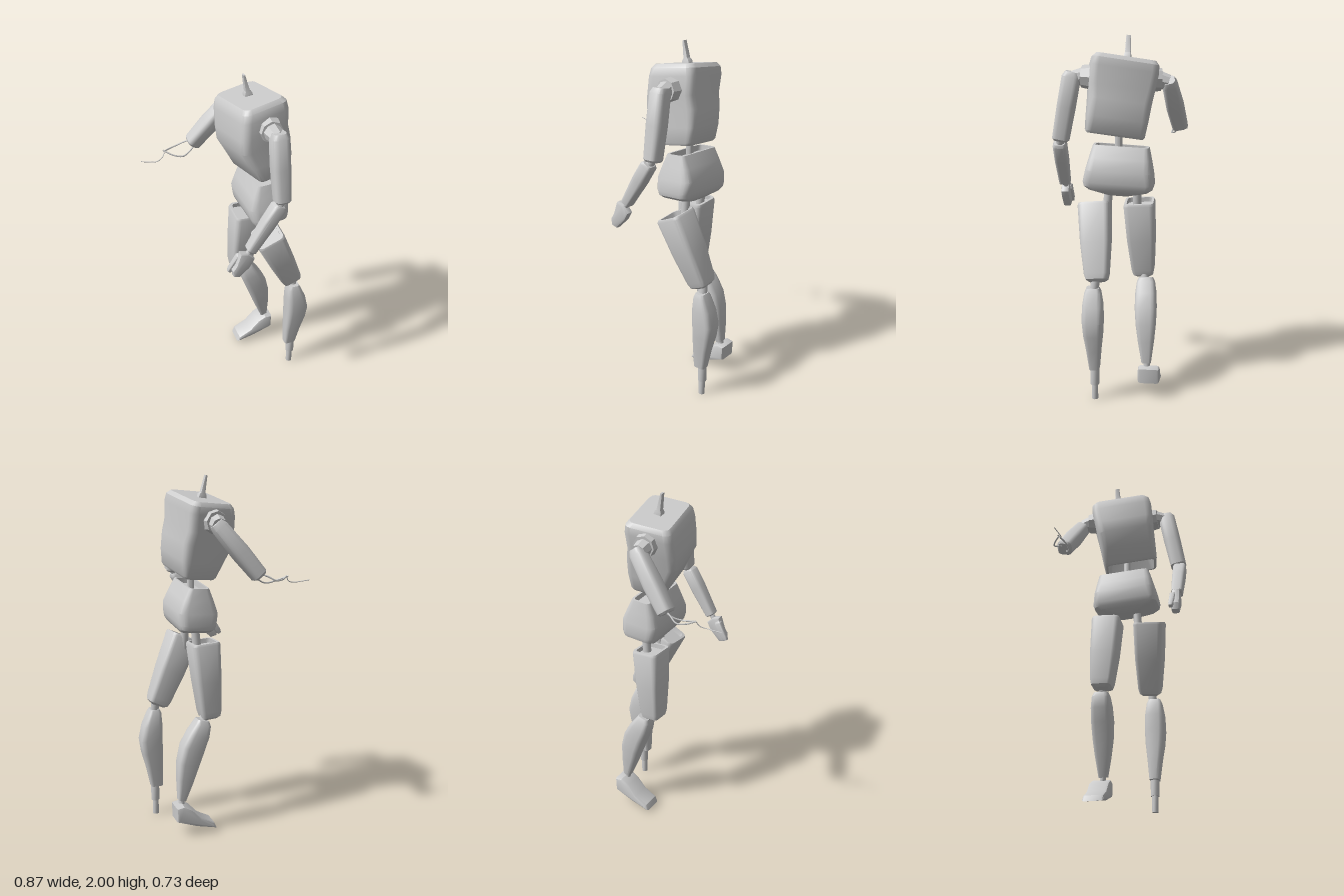
import * as THREE from 'three';
import { toCreasedNormals } from 'three/addons/utils/BufferGeometryUtils.js';

const V = (a) => new THREE.Vector3(...a);
const grey = new THREE.MeshStandardMaterial({ color: 0xcccccc });

function add(group, name, geometry) {
  const mesh = new THREE.Mesh(geometry, grey);
  mesh.name = name;
  group.add(mesh);
  return mesh;
}

// Corner-rounded rectangle, walked so that lofted faces point outward
function ringPoints(hx, hz, round) {
  const r = Math.min(hx, hz) * round, pts = [], steps = 3;
  const corners = [[1, 1], [-1, 1], [-1, -1], [1, -1]];
  corners.forEach(([sx, sz], q) => {
    for (let i = 0; i <= steps; i++) {
      const a = (q + i / steps) * Math.PI / 2;
      pts.push([sx * (hx - r) + Math.cos(a) * r, sz * (hz - r) + Math.sin(a) * r]);
    }
  });
  return pts;
}

// Shell from p0 (bottom) to p1 (top); sections are [t, halfX, halfZ, offsetX]
function loft(p0, p1, sections, { yaw = 0, round = 0.4, crease = 0.6 } = {}) {
  const a = V(p0), axis = V(p1).sub(a), up = axis.clone().normalize();
  const X = new THREE.Vector3(Math.cos(yaw), 0, -Math.sin(yaw));
  X.addScaledVector(up, -X.dot(up)).normalize();
  const Z = X.clone().cross(up);
  const pos = [], index = [];
  const put = (t, x, z) => pos.push(
    ...a.clone().addScaledVector(axis, t).addScaledVector(X, x).addScaledVector(Z, z).toArray());
  let n = 0;
  for (const [t, hx, hz, ox = 0] of sections) {
    const ring = ringPoints(hx, hz, round);
    n = ring.length;
    ring.forEach(([x, z]) => put(t, x + ox, z));
  }
  const rows = sections.length, c0 = rows * n;
  const first = sections[0], last = sections[rows - 1];
  put(first[0], first[3] || 0, 0);
  put(last[0], last[3] || 0, 0);
  for (let i = 0; i < n; i++) {
    const j = (i + 1) % n;
    for (let k = 0; k < rows - 1; k++) {
      const A = k * n + i, B = k * n + j;
      index.push(A, A + n, B, B, A + n, B + n);
    }
    index.push(c0, i, j, c0 + 1, (rows - 1) * n + j, (rows - 1) * n + i);
  }
  const g = new THREE.BufferGeometry();
  g.setAttribute('position', new THREE.Float32BufferAttribute(pos, 3));
  g.setIndex(index);
  return toCreasedNormals(g, crease);
}

// Round or many-sided pin between two points
function pin(p0, p1, r0, r1 = r0, sides = 12) {
  const a = V(p0), d = V(p1).sub(a);
  const g = new THREE.CylinderGeometry(r1, r0, d.length(), sides);
  g.translate(0, d.length() / 2, 0);
  g.applyQuaternion(new THREE.Quaternion().setFromUnitVectors(new THREE.Vector3(0, 1, 0), d.normalize()));
  g.translate(a.x, a.y, a.z);
  return toCreasedNormals(g, 0.6);
}

// Side profile in x-y, given bevelled thickness between z0 and z1
function slab(points, z0, z1, bevel) {
  const shape = new THREE.Shape(points.map(([x, y]) => new THREE.Vector2(x, y)));
  const g = new THREE.ExtrudeGeometry(shape, {
    depth: z1 - z0 - 2 * bevel, bevelEnabled: true, bevelSize: bevel,
    bevelThickness: bevel, bevelOffset: -bevel, bevelSegments: 2 });
  g.translate(0, 0, z0 + bevel);
  return toCreasedNormals(g, 0.6);
}

function wire(points, r) {
  return new THREE.TubeGeometry(new THREE.CatmullRomCurve3(points.map(V)), 28, r, 6);
}

export function createModel() {
  const model = new THREE.Group();
  model.name = 'jointedMannequin';

  // Torso: twisted shell, hollow at the waist
  add(model, 'torso', loft([0.155, 1.47, 0.025], [0.1, 1.885, -0.03], [
    [0.3, 0.06, 0.12], [0, 0.078, 0.142], [0, 0.09, 0.153], [0.03, 0.1, 0.16],
    [0.22, 0.125, 0.165, -0.005], [0.45, 0.148, 0.17, -0.02], [0.62, 0.14, 0.177, -0.02],
    [0.85, 0.138, 0.183, -0.005], [0.95, 0.13, 0.178], [1, 0.112, 0.16],
  ], { yaw: 0.165, round: 0.3 }));
  add(model, 'neckSpike', loft([0.1, 1.87, -0.042], [0.073, 2, -0.046], [
    [0, 0.024, 0.02], [0.22, 0.02, 0.018], [0.3, 0.012, 0.015], [1, 0.005, 0.012],
  ], { round: 0.1 }));
  add(model, 'waistColumn', pin([0.15, 1.33, 0], [0.15, 1.62, 0], 0.02));

  // Pelvis: flared block with a recessed top
  add(model, 'pelvis', loft([0.165, 1.145, 0], [0.15, 1.415, -0.015], [
    [0, 0.05, 0.06], [0.1, 0.09, 0.16], [0.17, 0.1, 0.188], [0.26, 0.105, 0.194],
    [0.5, 0.114, 0.183], [0.75, 0.088, 0.168], [1, 0.058, 0.152], [1, 0.047, 0.14], [0.88, 0.047, 0.14],
  ], { round: 0.4 }));

  // Left arm, hanging with a bent elbow
  const leftArm = new THREE.Group();
  leftArm.name = 'leftArm';
  model.add(leftArm);
  add(leftArm, 'shoulderSocket', pin([0.145, 1.78, 0.1], [0.14, 1.785, 0.2], 0.075, 0.06, 8));
  add(leftArm, 'shoulderJoint', pin([0.14, 1.785, 0.19], [0.15, 1.775, 0.25], 0.05, 0.04, 8));
  add(leftArm, 'upperArm', loft([0.155, 1.435, 0.32], [0.152, 1.81, 0.25], [
    [0, 0.034, 0.036], [0.03, 0.043, 0.046], [0.5, 0.049, 0.05], [0.93, 0.046, 0.05], [1, 0.034, 0.036],
  ], { round: 0.6 }));
  add(leftArm, 'elbow', pin([0.125, 1.39, 0.328], [0.155, 1.46, 0.318], 0.024));
  add(leftArm, 'forearm', loft([-0.022, 1.165, 0.328], [0.14, 1.425, 0.328], [
    [0, 0.022, 0.026], [0.02, 0.028, 0.032], [0.6, 0.038, 0.038], [0.95, 0.037, 0.038], [1, 0.027, 0.03],
  ], { round: 0.5 }));
  add(leftArm, 'wrist', pin([-0.05, 1.12, 0.325], [-0.01, 1.185, 0.328], 0.015));
  add(leftArm, 'hand', slab([[-0.08, 1.165], [-0.035, 1.155], [0, 1.115], [-0.025, 1.07],
    [-0.085, 1.01], [-0.12, 1.02], [-0.125, 1.06], [-0.105, 1.09]], 0.305, 0.352, 0.012));
  add(leftArm, 'thumb', loft([-0.135, 1.035, 0.305], [-0.07, 1.14, 0.312], [
    [0, 0.01, 0.01], [0.15, 0.016, 0.014], [0.9, 0.02, 0.016], [1, 0.012, 0.01]]));

  // Right arm, ending in a stump with loose wires
  const rightArm = new THREE.Group();
  rightArm.name = 'rightArm';
  model.add(rightArm);
  add(rightArm, 'shoulderSocket', pin([0.085, 1.77, -0.15], [0.075, 1.765, -0.225], 0.075, 0.06, 8));
  add(rightArm, 'shoulderJoint', pin([0.075, 1.765, -0.2], [0.075, 1.75, -0.265], 0.052, 0.042, 8));
  add(rightArm, 'upperArm', loft([-0.132, 1.482, -0.323], [0.095, 1.765, -0.265], [
    [0, 0.032, 0.036], [0.03, 0.042, 0.045], [0.45, 0.047, 0.05], [0.92, 0.042, 0.042], [1, 0.032, 0.032],
  ], { round: 0.6 }));
  add(rightArm, 'wireOuter', wire([[-0.12, 1.5, -0.325], [-0.165, 1.485, -0.345], [-0.21, 1.462, -0.359],
    [-0.255, 1.462, -0.34], [-0.295, 1.473, -0.305]], 0.0045));
  add(rightArm, 'wireInner', wire([[-0.12, 1.47, -0.31], [-0.16, 1.445, -0.29], [-0.2, 1.437, -0.273],
    [-0.25, 1.45, -0.28], [-0.302, 1.475, -0.312]], 0.0045));
  add(rightArm, 'wireTail', wire([[-0.293, 1.474, -0.308], [-0.31, 1.445, -0.295], [-0.35, 1.432, -0.277],
    [-0.4, 1.436, -0.284], [-0.437, 1.442, -0.292]], 0.0025));

  // Thighs share one tapering shell with a recessed top
  const thigh = (w) => [
    [0, 0.035 * w, 0.04 * w], [0.03, 0.054 * w, 0.058 * w], [0.1, 0.061 * w, 0.066 * w],
    [0.5, 0.074 * w, 0.081 * w], [0.97, 0.083 * w, 0.088 * w], [1, 0.078 * w, 0.083 * w],
    [1, 0.064 * w, 0.07 * w], [0.94, 0.064 * w, 0.07 * w]];

  // Left leg, finishing in a peg
  const leftLeg = new THREE.Group();
  leftLeg.name = 'leftLeg';
  model.add(leftLeg);
  add(leftLeg, 'hipPin', pin([0.17, 1.02, 0.065], [0.167, 1.23, 0.05], 0.024));
  add(leftLeg, 'thigh', loft([0.332, 0.69, 0.1], [0.155, 1.085, 0.133], thigh(1), { round: 0.35 }));
  add(leftLeg, 'knee', pin([0.342, 0.6, 0.12], [0.335, 0.73, 0.105], 0.024));
  add(leftLeg, 'shin', loft([0.335, 0.18, 0.117], [0.34, 0.66, 0.123], [
    [0, 0.035, 0.028], [0.25, 0.048, 0.04, 0.01], [0.45, 0.06, 0.052, 0.022], [0.62, 0.065, 0.057, 0.027],
    [0.8, 0.056, 0.056, 0.016], [0.95, 0.038, 0.045, 0.002], [1, 0.027, 0.035],
  ], { round: 0.5 }));
  add(leftLeg, 'pegUpper', pin([0.345, 0.09, 0.115], [0.345, 0.2, 0.115], 0.025));
  add(leftLeg, 'pegLower', pin([0.343, 0, 0.115], [0.343, 0.1, 0.115], 0.018));

  // Right leg, knee bent over a pointed foot
  const rightLeg = new THREE.Group();
  rightLeg.name = 'rightLeg';
  model.add(rightLeg);
  add(rightLeg, 'hipPin', pin([0.145, 1.02, -0.105], [0.165, 1.23, -0.1], 0.024));
  add(rightLeg, 'thigh', loft([0.088, 0.66, -0.137], [0.118, 1.1, -0.112], thigh(0.97), { round: 0.35 }));
  add(rightLeg, 'knee', pin([0.145, 0.59, -0.15], [0.115, 0.7, -0.14], 0.024));
  add(rightLeg, 'shin', loft([0.27, 0.195, -0.168], [0.137, 0.66, -0.153], [
    [0, 0.022, 0.026], [0.25, 0.046, 0.044, 0.012], [0.45, 0.06, 0.055, 0.02], [0.65, 0.066, 0.06, 0.018],
    [0.82, 0.06, 0.058, 0.005], [0.95, 0.045, 0.05, -0.004], [1, 0.034, 0.038],
  ], { round: 0.5 }));
  add(rightLeg, 'ankle', pin([0.275, 0.13, -0.175], [0.268, 0.22, -0.168], 0.018));
  add(rightLeg, 'foot', slab([[0.08, 0.02], [0.2, 0.048], [0.315, 0.09], [0.318, 0.175], [0.275, 0.182],
    [0.225, 0.155], [0.17, 0.095], [0.095, 0.055]], -0.243, -0.123, 0.014));

  return model;
}
